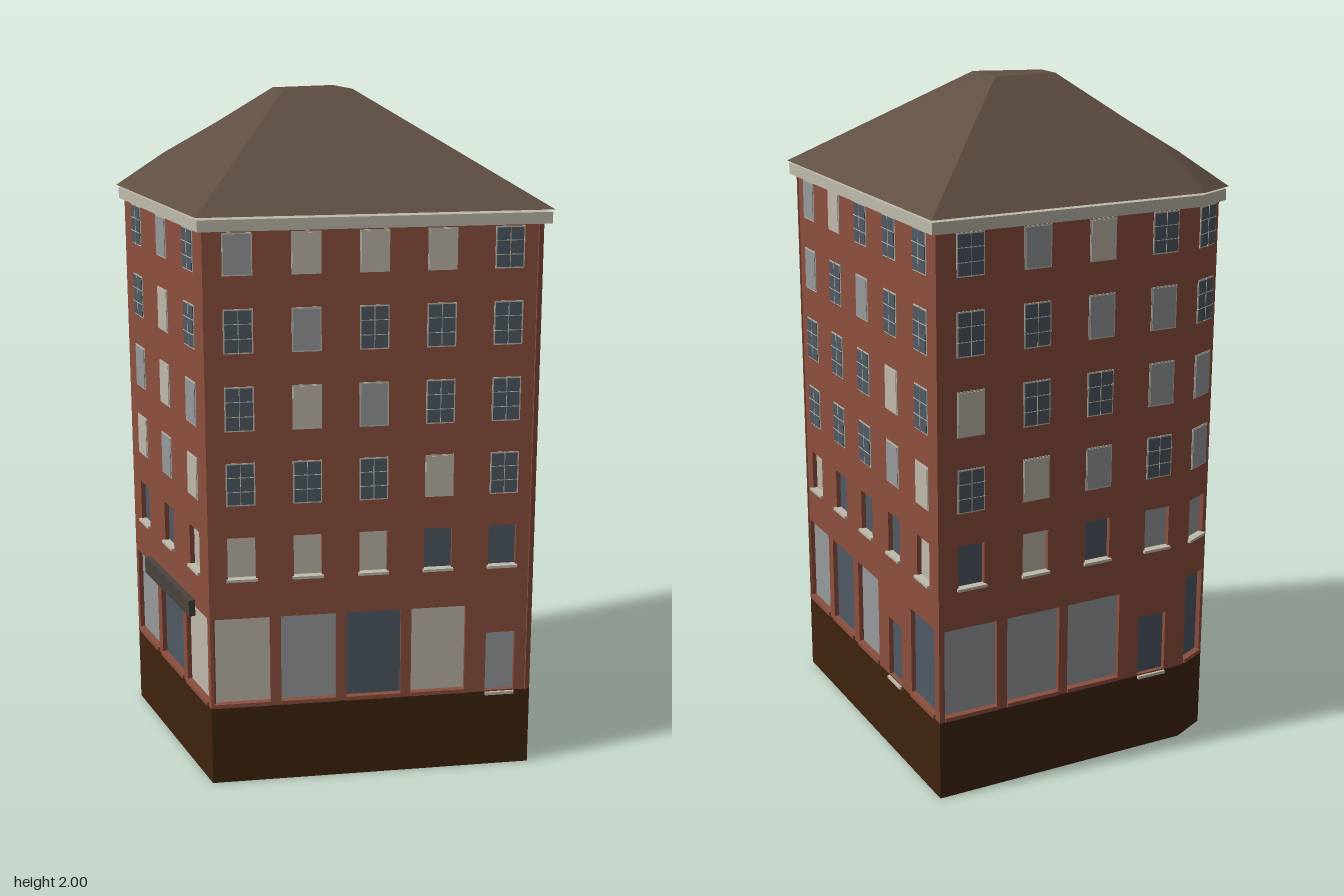
import * as THREE from 'three';

const mat = (name, color, side = THREE.FrontSide) => {
  const m = new THREE.MeshStandardMaterial({ color, side });
  m.name = name;
  return m;
};

// Plan corners [x, z], running left to right as seen from outside
const WALL = [[-0.565, 0.025], [0.2, 0.605], [0.56, -0.325], [-0.2, -0.615], [-0.32, -0.605]];
const EAVE = [[-0.59, 0.03], [0.21, 0.635], [0.59, -0.34], [-0.2, -0.64], [-0.33, -0.63]];
const BASE_TOP = 0.24, WALL_TOP = 1.66, RECESS = 0.015;

// Pane tones: d dark glass, g grey blind, b beige blind. Rows run from the top floor down.
// ground: [from, to, tone, isDoor], as fractions of the side's length
const SIDES = [
  { name: 'frontSide', rows: ['gbbbd', 'dgddd', 'dbgdd', 'dddbd', 'bbbdd'],
    ground: [[0.01, 0.183, 'b'], [0.216, 0.386, 'g'], [0.418, 0.588, 'd'], [0.62, 0.79, 'b'], [0.856, 0.948, 'g', true]] },
  { name: 'leftSide', rows: ['gbddd', 'gdgdd', 'dddbd', 'dddgb', 'bdddb'],
    ground: [[0.02, 0.18, 'g'], [0.215, 0.38, 'd'], [0.42, 0.575, 'g'], [0.65, 0.74, 'd', true], [0.81, 0.97, 'd']] },
  { name: 'backSide', rows: ['dgbd', 'ddgg', 'bddg', 'dbgd', 'dbdg'],
    ground: [[0.02, 0.225, 'g'], [0.265, 0.475, 'g'], [0.51, 0.725, 'g'], [0.81, 0.925, 'd', true]] },
  { name: 'cutCorner', rows: ['d', 'd', 'g', 'g', 'g'], ground: [[0.12, 0.88, 'd']] },
  { name: 'rightSide', rows: ['dgd', 'dbd', 'gbg', 'bgb', 'ddb'], sign: [0.22, 0.82],
    ground: [[0.03, 0.31, 'g'], [0.36, 0.655, 'd'], [0.70, 0.97, 'b']] },
];
const FLOORS = [[1.53, 1.65], [1.31, 1.437], [1.085, 1.215], [0.865, 0.992], [0.64, 0.768]];

export function createModel() {
  const model = new THREE.Group();
  model.name = 'cornerBuilding';
  const brick = mat('brick', 0x8c4f3e);
  const plinth = mat('brownPlinth', 0x3f250e, THREE.DoubleSide);
  const roofing = mat('roofBrown', 0x5f4e42);
  const trim = mat('paleTrim', 0xbfbbac);
  const signGrey = mat('signGrey', 0x4a443f);
  const panes = { d: mat('darkGlass', 0x4f5963), g: mat('greyBlind', 0x96999b), b: mat('beigeBlind', 0xc0b8aa) };

  const add = (parent, name, geo, material) => {
    const mesh = new THREE.Mesh(geo, material);
    mesh.name = name;
    parent.add(mesh);
    return mesh;
  };
  const box = (parent, name, material, x0, x1, y0, y1, z0, z1) => {
    const m = add(parent, name, new THREE.BoxGeometry(x1 - x0, y1 - y0, z1 - z0), material);
    m.position.set((x0 + x1) / 2, (y0 + y1) / 2, (z0 + z1) / 2);
    return m;
  };
  const rectangle = (ShapeType, x0, x1, y0, y1) => new ShapeType(
    [[x0, y0], [x1, y0], [x1, y1], [x0, y1]].map(p => new THREE.Vector2(...p)));

  // Flush upper window: pale edge, pane and glazing bars on dark glass
  function flushWindow(side, x, w, y0, y1, tone) {
    const x0 = x - w / 2, x1 = x + w / 2, e = 0.004;
    box(side, 'windowFrame', trim, x0, x1, y0, y1, -0.003, 0.002);
    box(side, 'windowPane', panes[tone], x0 + e, x1 - e, y0 + e, y1 - e, -0.003, 0.004);
    if (tone !== 'd') return;
    const b = 0.001;
    box(side, 'glazingBar', trim, x - b, x + b, y0, y1, 0, 0.005);
    for (const f of [1 / 3, 2 / 3]) {
      const y = y0 + (y1 - y0) * f;
      box(side, 'glazingBar', trim, x0, x1, y - b, y + b, 0, 0.005);
    }
  }

  SIDES.forEach((spec, i) => {
    const [ax, az] = WALL[i], [bx, bz] = WALL[(i + 1) % WALL.length];
    const len = Math.hypot(bx - ax, bz - az);
    const side = new THREE.Group();
    side.name = spec.name;
    side.position.set(ax, 0, az);
    side.rotation.y = Math.atan2(az - bz, bx - ax);
    model.add(side);

    const base = add(side, 'plinth', new THREE.PlaneGeometry(len, BASE_TOP), plinth);
    base.position.set(len / 2, BASE_TOP / 2, 0);

    const wall = rectangle(THREE.Shape, 0, len, BASE_TOP, WALL_TOP);
    const opening = (x0, x1, y0, y1, tone, name) => {
      wall.holes.push(rectangle(THREE.Path, x0, x1, y0, y1));
      box(side, name, panes[tone], x0 - 0.003, x1 + 0.003, y0 - 0.003, y1 + 0.003, -RECESS - 0.006, -RECESS + 0.001);
    };

    // Upper floors, with the lowest row recessed above a sill
    spec.rows.forEach((tones, r) => {
      const [y0, y1] = FLOORS[r];
      [...tones].forEach((tone, c) => {
        const x = len * (c + 0.5) / tones.length;
        if (r < 4) return flushWindow(side, x, 0.084, y0, y1, tone);
        opening(x - 0.041, x + 0.041, y0, y1, tone, 'recessedWindow');
        box(side, 'windowSill', trim, x - 0.045, x + 0.045, y0 - 0.004, y0 + 0.004, -RECESS, 0.01);
      });
    });

    // Shop windows and doors at street level
    for (const [t0, t1, tone, isDoor] of spec.ground) {
      const x0 = t0 * len, x1 = t1 * len;
      opening(x0, x1, isDoor ? 0.243 : 0.252, isDoor ? 0.43 : 0.52, tone, isDoor ? 'door' : 'shopWindow');
      if (isDoor) box(side, 'doorStep', trim, x0, x1, 0.23, 0.239, -RECESS, 0.008);
      else box(side, 'shopSill', brick, x0, x1, 0.242, 0.254, -RECESS, 0.006);
    }

    const wallGeo = new THREE.ExtrudeGeometry(wall, { depth: RECESS, bevelEnabled: false });
    add(side, 'brickWall', wallGeo.translate(0, 0, -RECESS), brick);

    if (spec.sign) box(side, 'signBoard', signGrey, spec.sign[0] * len, spec.sign[1] * len, 0.49, 0.54, 0, 0.02);
  });

  // Cornice slab under the eaves
  const slab = new THREE.Shape(EAVE.map(([x, z]) => new THREE.Vector2(x * 0.99, -z * 0.99)));
  const corniceGeo = new THREE.ExtrudeGeometry(slab, { depth: 0.033, bevelEnabled: false });
  add(model, 'cornice', corniceGeo.rotateX(-Math.PI / 2).translate(0, 1.655, 0), trim);

  // Hipped roof with a small flat top; the cut corner's face tapers up to a point
  const [E, D, C, B, A] = EAVE.map(([x, z]) => [x, 1.695, z]);
  const P1 = [-0.09, 2, -0.185], P2 = [0.09, 2, -0.115], P3 = [0.035, 2, 0.02], P4 = [-0.125, 2, -0.105];
  const hipA = [-0.24, 1.795, -0.51], hipB = [-0.2, 1.8, -0.5], peak = [-0.16, 1.895, -0.35];
  const faces = [
    [E, D, P3, P4], [D, C, P2, P3], [C, B, hipB, peak, P1, P2],
    [hipA, peak, hipB, B, A].reverse(), [E, P4, P1, peak, hipA, A].reverse(), [P4, P3, P2, P1],
    [A, B, C, D, E],
  ];
  // Fan each face from its first corner, keeping the concave face hinged at its hip
  faces[3] = [hipA, A, B, hipB, peak].reverse();
  faces[3].unshift(faces[3].pop());
  const points = [];
  for (const f of faces) {
    for (let k = 1; k < f.length - 1; k++) points.push(...f[0], ...f[k], ...f[k + 1]);
  }
  const roofGeo = new THREE.BufferGeometry();
  roofGeo.setAttribute('position', new THREE.Float32BufferAttribute(points, 3));
  roofGeo.computeVertexNormals();
  roofing.side = THREE.DoubleSide;
  roofing.flatShading = true;
  add(model, 'roof', roofGeo, roofing);
  return model;
}
